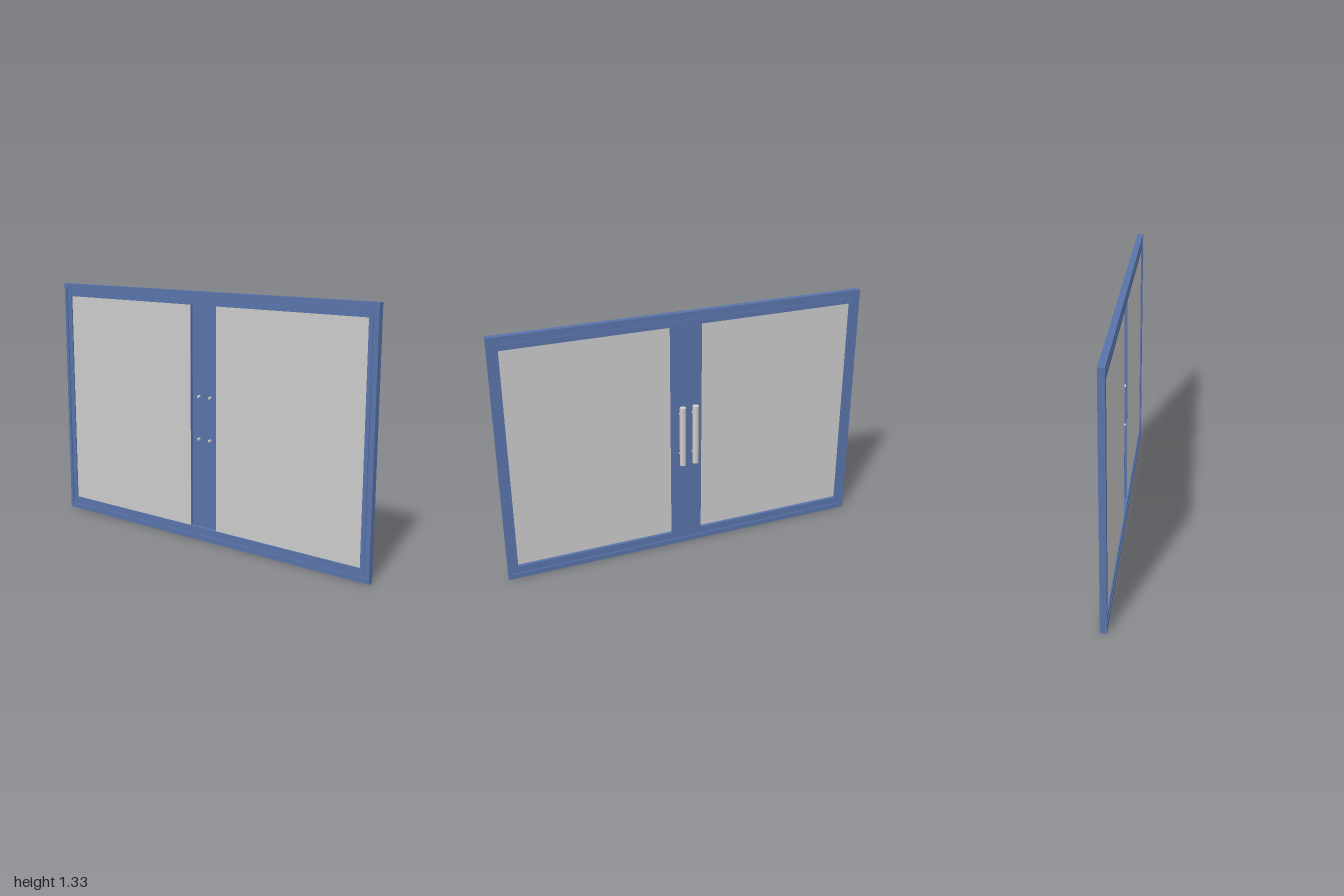
import * as THREE from 'three';

const blue = new THREE.MeshStandardMaterial({ color: 0x5974aa });
const grey = new THREE.MeshStandardMaterial({ color: 0xcccccc });
const steel = new THREE.MeshStandardMaterial({ color: 0xcfccc6 });

const H = 1.333;

export function createModel() {
  const model = new THREE.Group();
  model.name = 'doubleDoor';

  const add = (name, geometry, material, x, y, z) => {
    const mesh = new THREE.Mesh(geometry, material);
    mesh.name = name;
    mesh.position.set(x, y, z);
    model.add(mesh);
    return mesh;
  };
  const box = (name, material, x0, x1, y0, y1, z0, z1) =>
    add(name, new THREE.BoxGeometry(x1 - x0, y1 - y0, z1 - z0), material,
      (x0 + x1) / 2, (y0 + y1) / 2, (z0 + z1) / 2);

  // Rectangle inset from the outer outline by a side and a top/bottom margin
  const outline = (PathType, [sx, sy]) => new PathType([
    [-1 + sx, sy], [1 - sx, sy], [1 - sx, H - sy], [-1 + sx, H - sy],
  ].map(([x, y]) => new THREE.Vector2(x, y)));
  const ring = (name, outer, inner, z0, z1) => {
    const shape = outline(THREE.Shape, outer);
    shape.holes.push(outline(THREE.Path, inner));
    add(name, new THREE.ExtrudeGeometry(shape, { depth: z1 - z0, bevelEnabled: false }), blue, 0, 0, z0);
  };

  // Stepped surround: outer frame, recessed seal groove, door border
  ring('outerFrame', [0, 0], [0.018, 0.028], 0.009, 0.042);
  ring('sealGroove', [0.018, 0.028], [0.031, 0.041], 0.016, 0.035);
  ring('doorBorder', [0.031, 0.041], [0.052, 0.07], 0.011, 0.04);

  // Wide centre stile, set back behind the panes
  box('centreStile', blue, -0.084, 0.084, 0.07, H - 0.07, 0.011, 0.018);

  for (const side of [-1, 1]) {
    // Pane and the thin edge strip that joins it to the stile
    const pane = box('pane', grey, 0.084, 0.948, 0.07, H - 0.07, 0.029, 0.034);
    pane.position.x *= side;
    const strip = box('paneEdge', blue, 0.082, 0.084, 0.07, H - 0.07, 0.018, 0.034);
    strip.position.x *= side;

    // Pull handle on the back, with two posts bolted through the stile
    const x = side * 0.036;
    add('handleBar', new THREE.CylinderGeometry(0.017, 0.017, 0.33, 32), steel, x, 0.669, -0.025);
    for (const y of [0.555, 0.784]) {
      const post = add('handlePost', new THREE.CylinderGeometry(0.008, 0.008, 0.036, 20), steel, x, y, -0.007);
      post.rotation.x = Math.PI / 2;
      const bolt = add('handleBolt', new THREE.CylinderGeometry(0.007, 0.007, 0.02, 20), steel, x, y, 0.021);
      bolt.rotation.x = Math.PI / 2;
    }
  }
  return model;
}
